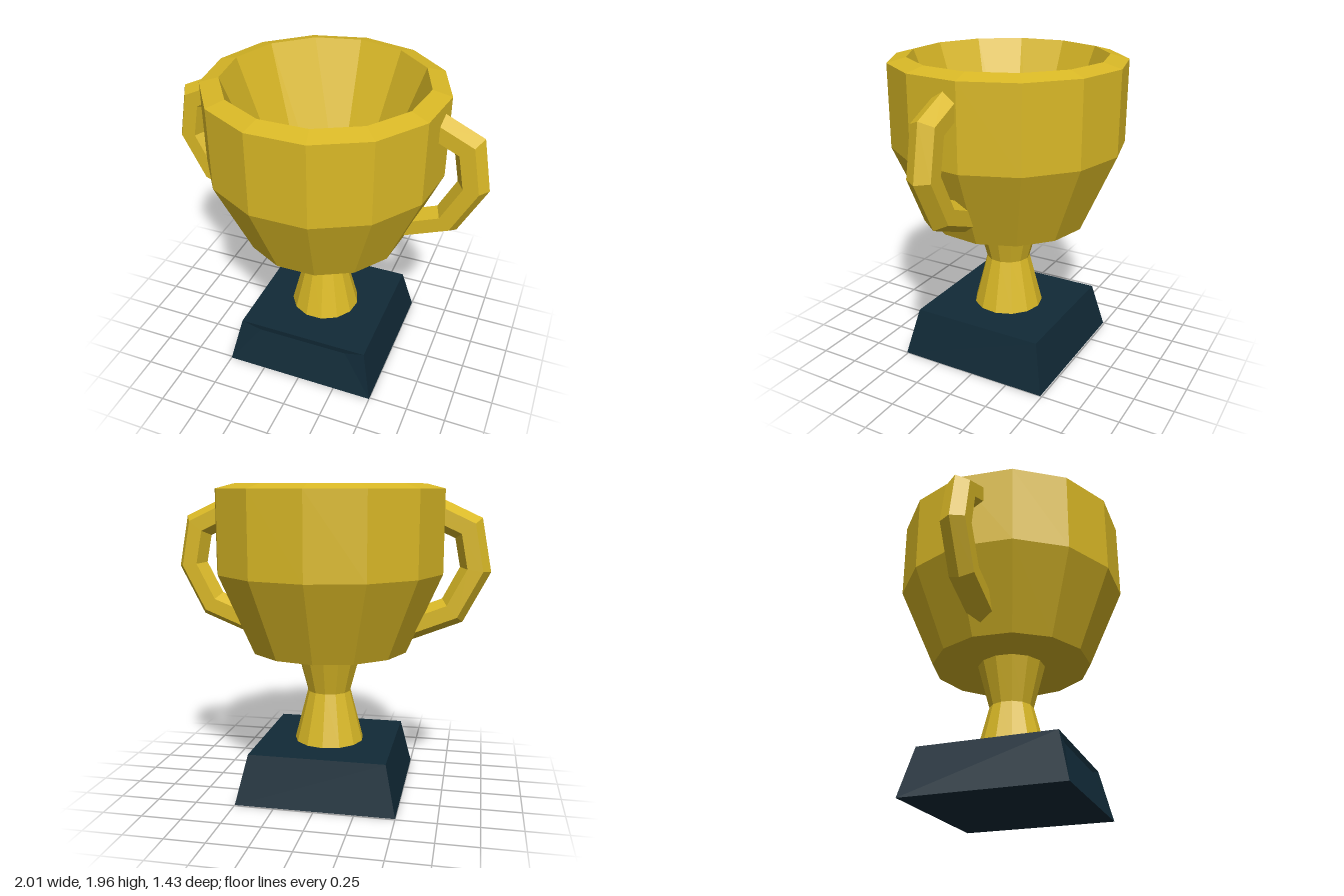
import * as THREE from 'three';

const SIDES = 13;

// Faceted turned part with one corner pointing to the back
function turned(name, profile, material) {
  const points = profile.map(([r, y]) => new THREE.Vector2(r, y));
  const mesh = new THREE.Mesh(new THREE.LatheGeometry(points, SIDES, Math.PI), material);
  mesh.name = name;
  return mesh;
}

function indexed(positions, indices) {
  const g = new THREE.BufferGeometry();
  g.setAttribute('position', new THREE.Float32BufferAttribute(positions, 3));
  g.setIndex(indices);
  g.computeVertexNormals();
  return g;
}

// Mitred hexagonal bar along a path in the xy plane
function hexBar(path, radius) {
  const pts = path.map(([x, y]) => new THREE.Vector2(x, y));
  const segNormals = pts.slice(1).map((p, i) => {
    const t = p.clone().sub(pts[i]).normalize();
    return new THREE.Vector2(-t.y, t.x);
  });
  const pos = [], idx = [], n = 6;
  pts.forEach((p, i) => {
    const a = segNormals[Math.max(i - 1, 0)];
    const b = segNormals[Math.min(i, segNormals.length - 1)];
    const m = a.clone().add(b).normalize();
    const w = radius / m.dot(a);
    for (let j = 0; j < n; j++) {
      const ang = (j / n) * Math.PI * 2;
      const k = w * Math.cos(ang);
      pos.push(p.x + m.x * k, p.y + m.y * k, radius * Math.sin(ang));
    }
  });
  for (let i = 0; i < pts.length - 1; i++) {
    for (let j = 0; j < n; j++) {
      const a = i * n + j, b = i * n + (j + 1) % n;
      idx.push(a, b, a + n, b, b + n, a + n);
    }
  }
  // End caps
  const last = (pts.length - 1) * n;
  for (let j = 1; j < n - 1; j++) {
    idx.push(0, j + 1, j, last, last + j, last + j + 1);
  }
  return indexed(pos, idx);
}

// Tapered block whose front tucks in slightly under its top edge
function plinthGeometry() {
  const b = 0.5, t = 0.43, h = 0.31;
  const positions = [
    -b, 0, b, b, 0, b, b, 0, -b, -b, 0, -b,
    -t, h, t, t, h, t, t, h, -t, -t, h, -t,
    -0.3, 0.27, 0.425, 0.3, 0.27, 0.425,
  ];
  const indices = [
    0, 1, 9, 0, 9, 8, 0, 8, 4, 1, 5, 9, // front
    8, 9, 5, 8, 5, 4,                   // lip underside
    1, 2, 6, 1, 6, 5,                   // left
    2, 3, 7, 2, 7, 6,                   // back
    3, 0, 4, 3, 4, 7,                   // right
    4, 5, 6, 4, 6, 7,                   // top
    0, 3, 2, 0, 2, 1,                   // bottom
  ];
  return indexed(positions, indices);
}

export function createModel() {
  const gold = new THREE.MeshStandardMaterial({ color: 0xd9b826, flatShading: true });
  gold.name = 'gold';
  const navy = new THREE.MeshStandardMaterial({ color: 0x112a37, flatShading: true });
  navy.name = 'dark navy';

  const model = new THREE.Group();
  model.name = 'trophy';

  const plinth = new THREE.Mesh(plinthGeometry(), navy);
  plinth.name = 'plinth';
  model.add(plinth);

  // Waisted stem
  model.add(turned('stem', [[0.225, 0.3], [0.225, 0.31], [0.14, 0.64], [0.218, 0.93]], gold));

  // Hollow bowl: underside, outer wall, rim, inner wall, floor
  model.add(turned('bowl', [
    [0, 0.92], [0.505, 0.92], [0.725, 1.42], [0.725, 1.93],
    [0.61, 1.96], [0.232, 0.97], [0, 0.97],
  ], gold));

  // Pair of handles, ends sunk into the bowl wall
  const handle = hexBar([[0.67, 1.785], [0.862, 1.695], [0.91, 1.445], [0.778, 1.19], [0.49, 1.075]], 0.09);
  for (const [name, turn] of [['leftHandle', 0], ['rightHandle', Math.PI]]) {
    const mesh = new THREE.Mesh(handle, gold);
    mesh.name = name;
    mesh.rotation.y = turn;
    model.add(mesh);
  }

  // Small shift so the odd-sided bowl is centred in depth
  for (const part of model.children) part.position.z = 0.01;
  return model;
}
